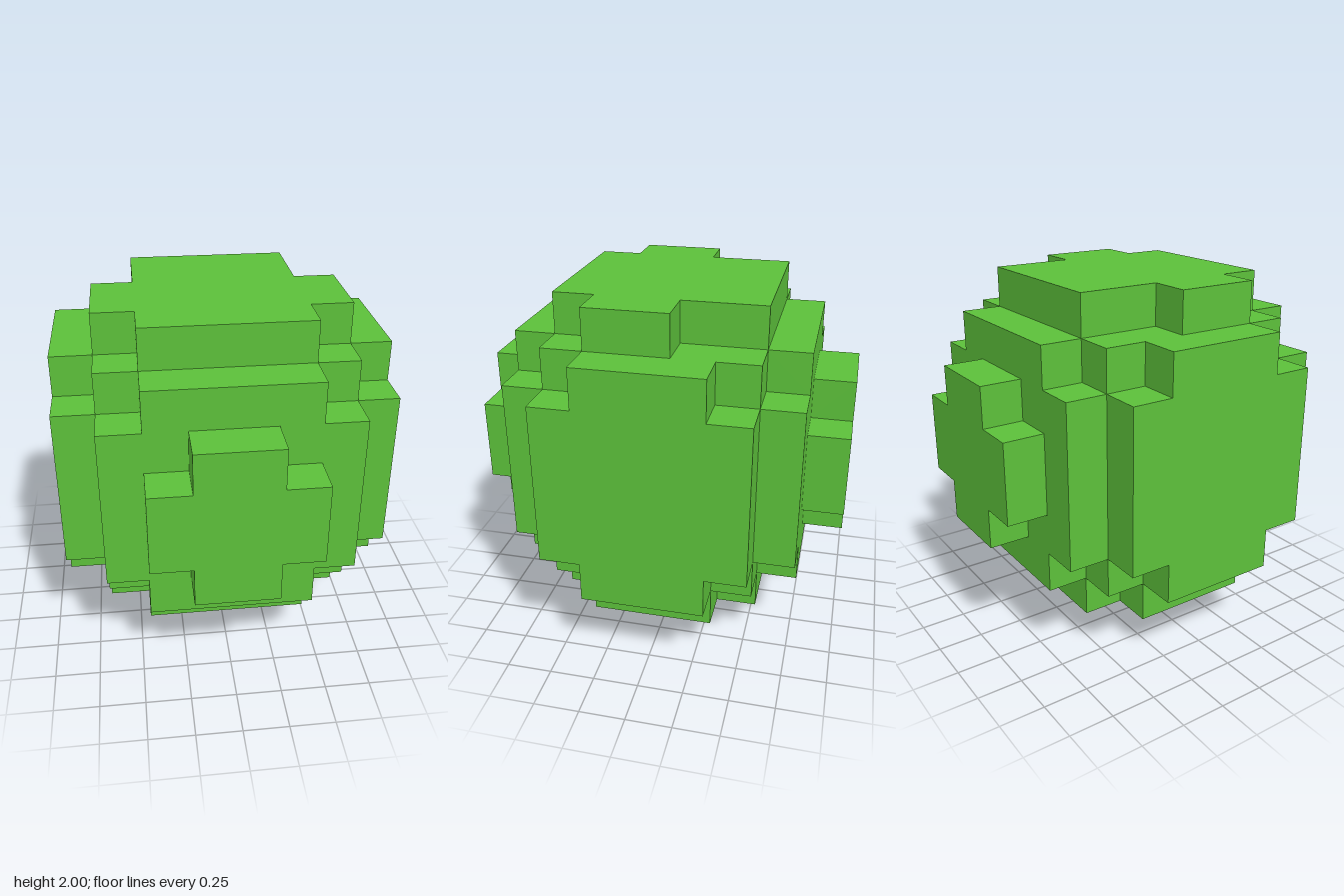
import * as THREE from 'three';

const U = 2 / 9; // edge of one block

// Corner points of a staircase, from the narrow far step to the wide near one.
function stairs(steps) {
  const pts = [];
  steps.forEach(([x, d], i) => {
    if (i > 0) pts.push([steps[i - 1][0], d]);
    pts.push([x, d]);
  });
  return pts;
}

// Stepped outline, mirrored left to right; a and b are the +y and -y staircases.
function steppedShape(a, b = a) {
  const right = [...stairs(a), ...stairs(b).map(([x, d]) => [x, -d]).reverse()];
  const left = right.map(([x, y]) => [-x, y]).reverse();
  return new THREE.Shape([...right, ...left].map(([x, y]) => new THREE.Vector2(x * U, y * U)));
}

export function createModel() {
  const group = new THREE.Group();
  const green = new THREE.MeshStandardMaterial({ color: 0x5cc03a });
  green.name = 'leaf green';

  const add = (name, geometry) => {
    const mesh = new THREE.Mesh(geometry, green);
    mesh.name = name;
    group.add(mesh);
    return mesh;
  };
  const extrude = (shape, blocks) =>
    new THREE.ExtrudeGeometry(shape, { depth: blocks * U, bevelEnabled: false });

  // Horizontal slabs of the body, stacked upwards
  const cap = [[2, 2.5], [3, 1.5]];
  const shoulder = [[2, 3.5], [3, 2.5], [4, 1.5]];
  const middle = [[3, 3.5], [4, 2.5]];
  const deepNotch = [[2, 2.5], [3, 0.5]];
  const slabs = [
    ['bottomSlab', 1, 1, cap, cap],
    ['lowerShoulder', 2, 1, shoulder, shoulder],
    ['middleBody', 3, 4, middle, middle],
    ['upperShoulder', 7, 1, shoulder, shoulder],
    ['topSlab', 8, 1, deepNotch, cap], // deeper notches at the back corners
  ];
  for (const [name, y, height, back, front] of slabs) {
    const geometry = extrude(steppedShape(back, front), height);
    geometry.rotateX(-Math.PI / 2).translate(0, y * U, 0);
    add(name, geometry);
  }

  // Cross-shaped bumps on the front and back
  const cross = [[1, 2], [2, 1]];
  for (const [name, z] of [['frontBump', 3.5], ['backBump', -4.5]]) {
    add(name, extrude(steppedShape(cross), 1).translate(0, 5 * U, z * U));
  }

  // Short foot underneath
  add('foot', new THREE.BoxGeometry(2 * U, U, U).translate(0, U / 2, 0));

  return group;
}
